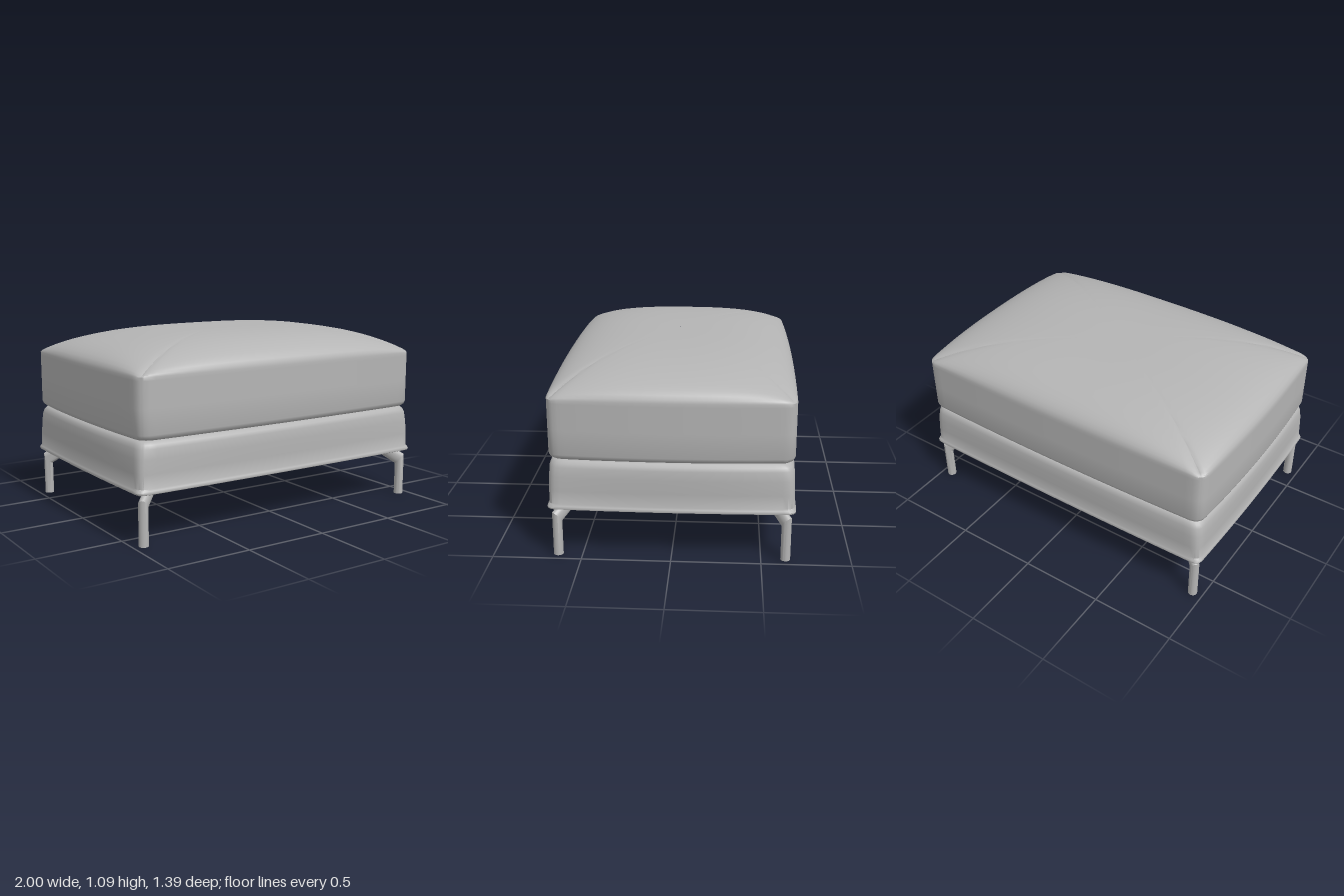
import * as THREE from 'three';
import { toCreasedNormals } from 'three/addons/utils/BufferGeometryUtils.js';

const upholstery = new THREE.MeshStandardMaterial({ color: 0xb4b4b4 });
upholstery.name = 'grey';

// Perimeter of the unit square, anticlockwise from above, denser at corners
const SIDE = 28;
const perimeter = [];
for (const turn of [0, 1, 2, 3]) {
  for (let k = 0; k < SIDE; k++) {
    const t = Math.sin((k / SIDE - 0.5) * Math.PI);
    perimeter.push([[t, 1], [1, -t], [-t, -1], [-1, t]][turn]);
  }
}

// Point on a rounded rectangle whose sides bow outwards in the middle
function outline(a, b, { x, z, r, bow }) {
  const cx = THREE.MathUtils.clamp(a * x, r - x, x - r);
  const cz = THREE.MathUtils.clamp(b * z, r - z, z - r);
  const dx = a * x - cx, dz = b * z - cz;
  const k = dx && dz ? r / Math.hypot(dx, dz) : 1;
  return [(cx + dx * k) * (1 - bow * b * b), (cz + dz * k) * (1 - bow * a * a)];
}

// Skin over rings listed from bottom to top; s shrinks a ring, dome lifts it
function loft(rings) {
  const pos = [], index = [], n = perimeter.length;
  const swell = (u) => Math.sqrt(Math.max(0, 1 - Math.abs(u) ** 3));
  rings.forEach((ring, i) => {
    const { s = 1, dome = 0, y } = ring;
    perimeter.forEach(([a, b], j) => {
      const [px, pz] = outline(a, b, ring);
      pos.push(px * s, y + dome * swell(a * s) * swell(b * s), pz * s);
      if (i === rings.length - 1) return;
      const p = i * n + j, q = i * n + (j + 1) % n;
      index.push(p, q, p + n, q, q + n, p + n);
    });
  });
  const geo = new THREE.BufferGeometry();
  geo.setAttribute('position', new THREE.Float32BufferAttribute(pos, 3));
  geo.setIndex(index);
  return toCreasedNormals(geo, 0.7);
}

function cushionGeometry() {
  const ring = (inset, y, extra) => ({ x: 0.993 - inset, z: 0.69 - inset, r: 0.055, bow: 0.028, y, ...extra });
  const rings = [
    ring(0.04, 0.574, { s: 0.001 }), ring(0.04, 0.574), ring(0.02, 0.58), ring(0.006, 0.592),
    ring(0, 0.61), ring(0, 0.75), ring(0, 0.9),
  ];
  // Domed top, with rings closer together at the rim
  for (let i = 0; i <= 16; i++) {
    rings.push(ring(0, 0.92, { s: Math.max(0.001, Math.cos(i / 16 * Math.PI / 2)), dome: 0.17 }));
  }
  return loft(rings);
}

function baseGeometry() {
  const ring = (inset, y, bow, r, s = 1) => ({ x: 1 - inset, z: 0.695 - inset, r, bow, y, s });
  return loft([
    ring(0.01, 0.29, 0.014, 0.04, 0.001), ring(0.01, 0.29, 0.014, 0.04),
    // piped lower edge
    ring(0.002, 0.294, 0.014, 0.04), ring(0, 0.302, 0.014, 0.04), ring(0.004, 0.312, 0.014, 0.04),
    ring(0.009, 0.322, 0.016, 0.04),
    // side panels, narrowing at the corners towards the top
    ring(0.007, 0.4, 0.019, 0.045), ring(0.006, 0.48, 0.024, 0.05), ring(0.008, 0.535, 0.028, 0.055),
    ring(0.014, 0.556, 0.03, 0.055), ring(0.025, 0.57, 0.03, 0.055), ring(0.045, 0.577, 0.03, 0.055),
    ring(0.045, 0.577, 0.03, 0.055, 0.001),
  ]);
}

// Round post with a mitred bend leaning in under the base
function legGeometry(sx, sz) {
  const geo = new THREE.CylinderGeometry(0.0275, 0.0275, 2, 24, 2);
  const p = geo.attributes.position;
  for (let i = 0; i < p.count; i++) {
    const level = Math.round(p.getY(i)) + 1; // 0 foot, 1 bend, 2 top
    const ox = p.getX(i), oz = p.getZ(i);
    const bendY = 0.228 + 0.8 * (ox * sx + oz * sz);
    const t = level === 2 ? (0.3 - bendY) / 0.065 : 0;
    p.setXYZ(i,
      sx * (0.938 - 0.08 * t) + ox,
      [0, bendY, 0.3][level],
      sz * (0.637 - 0.064 * t) + oz);
  }
  return toCreasedNormals(geo, 0.6);
}

export function createModel() {
  const group = new THREE.Group();
  group.name = 'footstool';
  const add = (name, geo) => {
    const mesh = new THREE.Mesh(geo, upholstery);
    mesh.name = name;
    group.add(mesh);
  };
  add('seatCushion', cushionGeometry());
  add('base', baseGeometry());
  for (const [sx, side] of [[1, 'Left'], [-1, 'Right']]) {
    for (const [sz, end] of [[1, 'front'], [-1, 'back']]) {
      add(`${end}${side}Leg`, legGeometry(sx, sz));
    }
  }
  return group;
}
